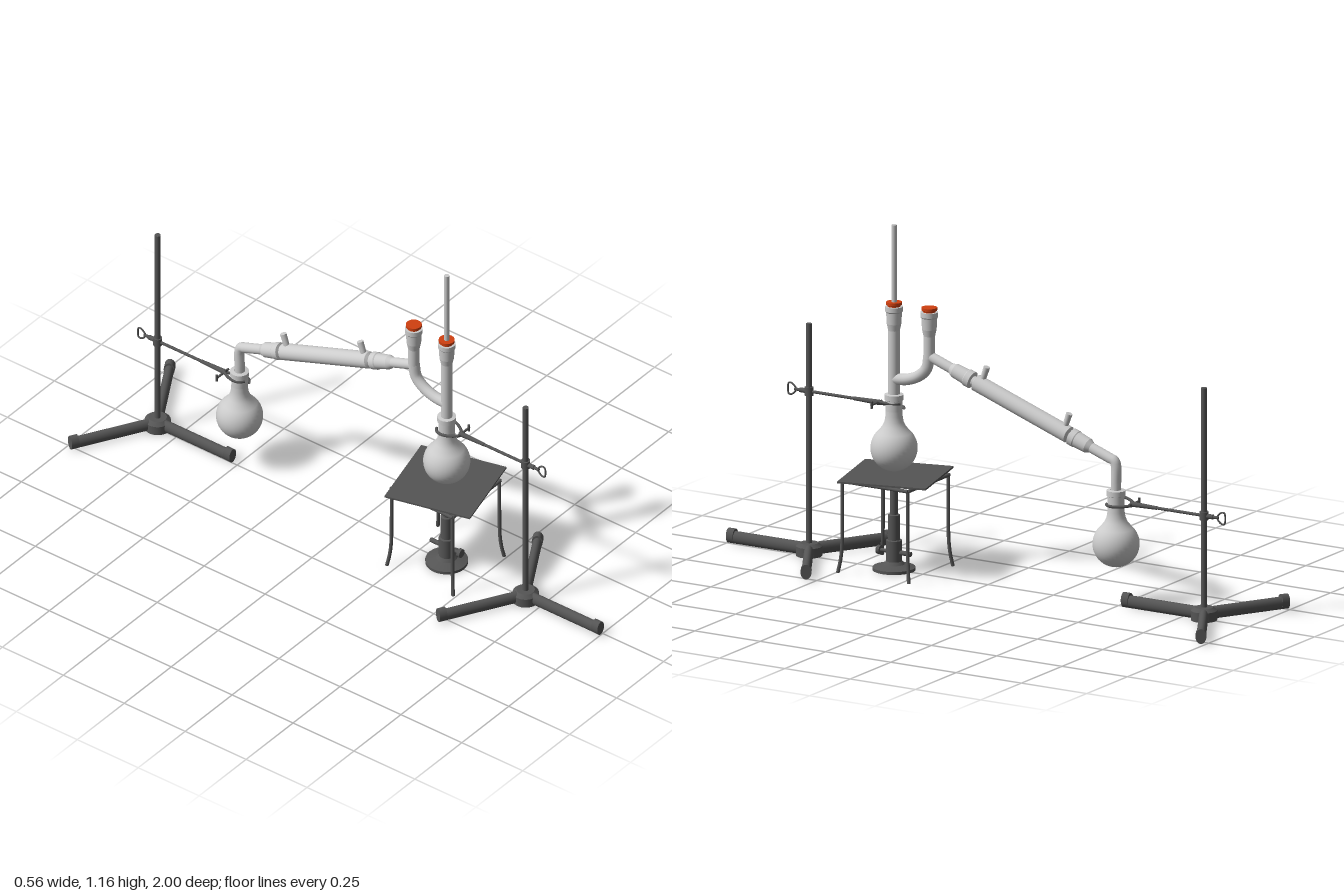
import * as THREE from 'three';

const V = (x, y, z) => new THREE.Vector3(x, y, z);
const UP = V(0, 1, 0);

export function createModel() {
  const model = new THREE.Group();
  model.name = 'distillationApparatus';
  const glass = new THREE.MeshStandardMaterial({ color: 0xcccccc, side: THREE.DoubleSide });
  const metal = new THREE.MeshStandardMaterial({ color: 0x555555, side: THREE.DoubleSide });
  const orange = new THREE.MeshStandardMaterial({ color: 0xd04010 });

  const add = (parent, name, geo, mat) => {
    const mesh = new THREE.Mesh(geo, mat);
    mesh.name = name;
    parent.add(mesh);
    return mesh;
  };
  const group = (parent, name, x, y, z) => {
    const g = new THREE.Group();
    g.name = name;
    g.position.set(x, y, z);
    parent.add(g);
    return g;
  };
  // straight round bar between two points
  const rod = (parent, name, a, b, r, mat, r2 = r) => {
    const dir = b.clone().sub(a);
    const mesh = add(parent, name, new THREE.CylinderGeometry(r2, r, dir.length(), 24), mat);
    mesh.position.copy(a).addScaledVector(dir, 0.5);
    mesh.quaternion.setFromUnitVectors(UP, dir.normalize());
    return mesh;
  };
  // turned part from [radius, height] pairs
  const turned = (parent, name, pts, mat, smooth = false) => {
    let p = pts.map(([x, y]) => new THREE.Vector2(x, y));
    if (!smooth) // doubled points keep the shoulders crisp
      p = p.flatMap((q, i) => (i && i < p.length - 1 ? [q, q.clone()] : [q]));
    return add(parent, name, new THREE.LatheGeometry(p, 32), mat);
  };
  const tube = (parent, name, pts, r, mat, closed = false) =>
    add(parent, name, new THREE.TubeGeometry(new THREE.CatmullRomCurve3(pts, closed, 'centripetal'), 32, r, 14, closed), mat);

  // stand with three feet and a pole; its clamp is turned toward the flask
  const stand = (name, x, z, clampTurn, clampY, reach) => {
    const g = group(model, name, x, 0, z);
    turned(g, 'standHub', [[0, 0], [0.043, 0], [0.043, 0.032], [0.03, 0.043], [0, 0.043]], metal);
    rod(g, 'pole', V(0, 0.03, 0), V(0, 0.78, 0), 0.01, metal);
    for (let i = 0; i < 3; i++) {
      const leg = group(g, 'standLeg', 0, 0, 0);
      leg.rotation.y = (i * Math.PI * 2) / 3;
      // legs and feet are taller than wide
      rod(leg, 'legBar', V(0, 0.021, 0), V(0, 0.021, 0.29), 0.021, metal).scale.x = 0.75;
      rod(leg, 'legFoot', V(0, 0.025, 0.282), V(0, 0.025, 0.308), 0.025, metal).scale.x = 0.72;
    }
    // clamp rod, boss and handle
    const c = group(g, 'clamp', 0, clampY, 0);
    c.rotation.y = clampTurn;
    rod(c, 'clampRod', V(0, 0, 0.055), V(0, 0, -reach + 0.12), 0.005, metal);
    rod(c, 'clampSleeve', V(0, 0, -reach + 0.16), V(0, 0, -reach + 0.06), 0.006, metal, 0.009);
    rod(c, 'clampBoss', V(0, -0.014, 0), V(0, 0.014, 0), 0.015, metal);
    rod(c, 'bossScrew', V(0, 0, 0), V(0, 0, 0.035), 0.008, metal);
    tube(c, 'clampHandle', [V(0, 0, 0.05), V(0, 0.018, 0.065), V(0, 0.018, 0.078),
      V(0, -0.018, 0.078), V(0, -0.018, 0.065)], 0.003, metal, true);
    // jaws gripping the neck, with a wing screw at the side
    for (const s of [-1, 1]) {
      tube(c, 'clampJaw', [V(0, s * 0.004, -reach + 0.07), V(s * 0.02, s * 0.008, -reach + 0.042),
        V(s * 0.031, s * 0.01, -reach + 0.01), V(s * 0.027, s * 0.01, -reach - 0.013),
        V(s * 0.012, s * 0.01, -reach - 0.026)], 0.005, metal);
    }
    rod(c, 'jawScrew', V(-0.02, 0, -reach + 0.065), V(0.044, 0, -reach + 0.065), 0.004, metal);
    rod(c, 'jawWing', V(0.042, -0.012, -reach + 0.065), V(0.042, 0.012, -reach + 0.065), 0.004, metal);
  };
  stand('frontStand', -0.008, 0.69, 0, 0.552, 0.33);
  stand('backStand', 0.005, -0.83, Math.PI, 0.35, 0.34);

  // round flask: bulb, flared neck, collar
  const flask = (name, y, z) => {
    const g = group(model, name, 0, y, z);
    const R = 0.077, pts = [];
    for (let i = 0; i <= 20; i++) {
      const a = -Math.PI / 2 + (i / 20) * 2.42;
      pts.push([Math.max(0, R * Math.cos(a)), R * Math.sin(a)]);
    }
    pts.push([0.038, 0.074], [0.031, 0.09], [0.028, 0.108], [0.027, 0.125]);
    turned(g, 'flaskBulb', pts, glass, true);
    turned(g, 'flaskNeck', [[0.027, 0.12], [0.027, 0.16], [0.031, 0.162], [0.031, 0.18],
      [0.018, 0.182]], glass);
  };
  flask('boilingFlask', 0.41, 0.36);
  flask('receivingFlask', 0.207, -0.49);

  // still head: two stoppered upright tubes joined by a curved arm
  const headTube = (z, bottom) => {
    const g = group(model, 'headTube', 0, 0, z);
    turned(g, 'headGlass', [[0.019, bottom], [0.019, 0.805], [0.024, 0.828], [0.026, 0.866],
      [0.029, 0.87], [0.029, 0.886], [0, 0.886]], glass);
    turned(g, 'stopper', [[0, 0.884], [0.021, 0.884], [0.021, 0.889], [0.026, 0.892], [0.026, 0.901], [0, 0.901]], orange);
  };
  headTube(0.36, 0.575);
  headTube(0.225, 0.73);
  tube(model, 'headArm', [V(0, 0.642, 0.36), V(0, 0.647, 0.31), V(0, 0.665, 0.265),
    V(0, 0.695, 0.235), V(0, 0.745, 0.225)], 0.019, glass);
  rod(model, 'thermometer', V(0, 0.46, 0.36), V(0, 1.16, 0.36), 0.009, glass);

  // condenser, turned along its sloping axis
  const start = V(0, 0.738, 0.225), end = V(0, 0.49, -0.47);
  const axis = end.clone().sub(start).normalize();
  const condenser = group(model, 'condenser', start.x, start.y, start.z);
  condenser.quaternion.setFromUnitVectors(UP, axis);
  turned(condenser, 'innerTube', [[0.017, 0], [0.017, 0.74]], glass);
  turned(condenser, 'upperJoint', [[0.017, 0.09], [0.024, 0.105], [0.026, 0.152], [0.029, 0.155],
    [0.029, 0.175], [0.017, 0.178]], glass);
  turned(condenser, 'jacket', [[0.017, 0.186], [0.028, 0.192], [0.028, 0.566], [0.017, 0.572]], glass);
  turned(condenser, 'lowerJoint', [[0.017, 0.575], [0.029, 0.578], [0.029, 0.598], [0.027, 0.601],
    [0.025, 0.645], [0.017, 0.66]], glass);
  // water ports
  const normal = V(0, -axis.z, axis.y);
  for (const d of [0.21, 0.545]) {
    const base = start.clone().addScaledVector(axis, d);
    rod(model, 'waterPort', base, base.clone().addScaledVector(normal, 0.068), 0.009, glass, 0.011);
  }
  // outlet bend down into the receiver
  tube(model, 'outletBend', [V(0, 0.5, -0.442), V(0, 0.491, -0.468), V(0, 0.484, -0.484),
    V(0, 0.468, -0.49), V(0, 0.41, -0.49), V(0, 0.37, -0.49)], 0.017, glass);

  // heating plate on a four-legged frame
  const table = group(model, 'heatingTable', 0, 0, 0.355);
  const plate = add(table, 'plate', new THREE.BoxGeometry(0.302, 0.006, 0.302), metal);
  plate.position.y = 0.32;
  plate.rotation.y = 0.25;
  for (let i = 0; i < 4; i++) {
    const side = group(table, 'frameSide', 0, 0, 0);
    side.rotation.y = (i * Math.PI) / 2;
    rod(side, 'frameBar', V(-0.127, 0.309, 0.127), V(0.127, 0.309, 0.127), 0.006, metal);
    tube(side, 'tableLeg', [V(0.125, 0.309, 0.125), V(0.125, 0.2, 0.125), V(0.126, 0.09, 0.126),
      V(0.13, 0.04, 0.13), V(0.136, 0.002, 0.136)], 0.006, metal);
  }

  // gas burner with air collar and valve
  const burner = group(model, 'burner', 0, 0, 0.36);
  turned(burner, 'burnerBase', [[0, 0], [0.07, 0], [0.07, 0.01], [0.035, 0.02], [0.026, 0.03],
    [0.026, 0.1], [0.02, 0.102], [0.02, 0.185], [0.013, 0.187], [0.013, 0.275], [0.009, 0.275], [0.009, 0.2]], metal);
  rod(burner, 'gasInlet', V(0, 0.06, 0), V(0, 0.06, -0.065), 0.008, metal);
  rod(burner, 'valveStem', V(0, 0.06, 0), V(0, 0.06, 0.055), 0.006, metal);
  rod(burner, 'valveKnob', V(0, 0.06, 0.05), V(0, 0.06, 0.062), 0.015, metal);

  return model;
}
